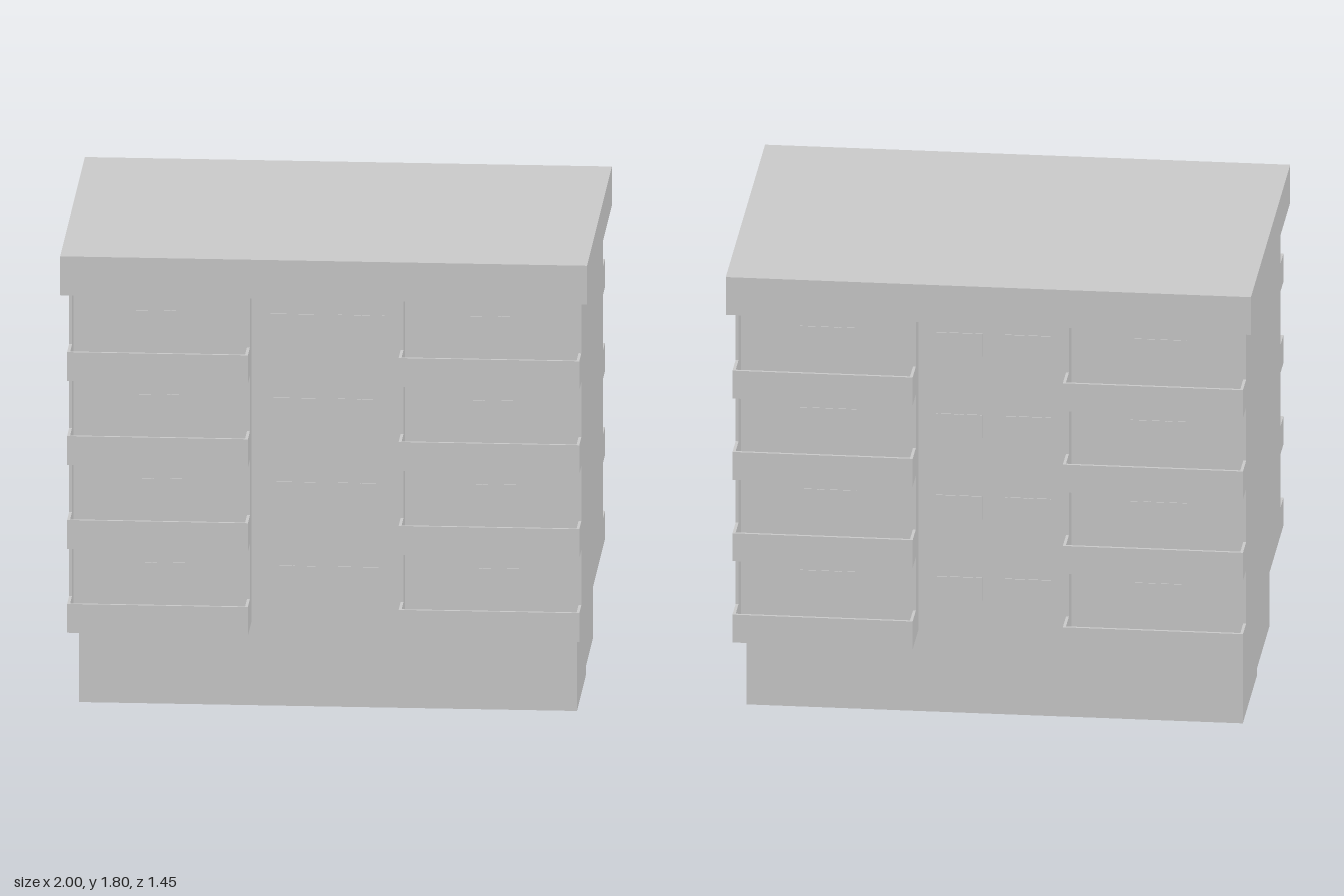
import * as THREE from 'three';

const material = new THREE.MeshStandardMaterial({ color: 0xcccccc, flatShading: true });

// Box given by its limits along each axis
function block(parent, name, x0, x1, y0, y1, z0, z1) {
  const mesh = new THREE.Mesh(new THREE.BoxGeometry(x1 - x0, y1 - y0, z1 - z0), material);
  mesh.position.set((x0 + x1) / 2, (y0 + y1) / 2, (z0 + z1) / 2);
  mesh.name = name;
  parent.add(mesh);
  return mesh;
}

const BASE_TOP = 0.33, EAVES = 1.65, STOREY = 0.33, FLOORS = 4;
const WALL = 0.515;              // main facade plane
const FIN = 0.61;                // front edge of the wing walls
const BALCONY = 0.724;           // front edge of the balconies
const INNER = 0.286, OUTER = 0.972, THIN = 0.011;

// Tray-shaped balcony: floor slab with a thin parapet on three sides
function createBalcony(y) {
  const g = new THREE.Group();
  g.name = 'balcony';
  const top = y + 0.113;
  block(g, 'balconyFloor', INNER, OUTER, y, y + 0.014, WALL, BALCONY);
  block(g, 'balconyParapet', INNER, OUTER, y, top, BALCONY - THIN, BALCONY);
  for (const x of [INNER, OUTER - THIN]) {
    block(g, 'balconySide', x, x + THIN, y, top, FIN, BALCONY - THIN);
  }
  return g;
}

// Shallow two-pane window set on the facade
function createWindow(x, y) {
  const g = new THREE.Group();
  g.name = 'window';
  const w = 0.09, h = 0.093;
  for (const s of [-1, 1]) {
    block(g, 'windowPane', x + s * w / 2 - 0.043, x + s * w / 2 + 0.043, y, y + h, WALL, WALL + 0.004);
  }
  return g;
}

// Balcony door with a side window at each hand
function createBalconyDoor(y) {
  const g = new THREE.Group();
  g.name = 'balconyDoor';
  const top = y + 0.225;
  block(g, 'doorLeaf', 0.593, 0.662, y + 0.014, top, WALL, WALL + 0.003);
  block(g, 'sideWindow', 0.522, 0.59, y + 0.13, top, WALL, WALL + 0.003);
  block(g, 'sideWindow', 0.665, 0.737, y + 0.13, top, WALL, WALL + 0.003);
  return g;
}

// Projecting wing on one side of the facade
function createWing(side) {
  const g = new THREE.Group();
  g.name = side > 0 ? 'leftWing' : 'rightWing';
  block(g, 'outerWall', OUTER - THIN, OUTER, BASE_TOP, EAVES, 0, FIN);
  block(g, 'innerWall', INNER, INNER + THIN, BASE_TOP, EAVES, WALL, FIN);
  for (let i = 0; i < FLOORS; i++) {
    const y = BASE_TOP + i * STOREY;
    g.add(createBalcony(y), createBalconyDoor(y));
  }
  // Mirror by shifting each symmetric box to the other side
  if (side < 0) {
    g.traverse((o) => { if (o.isMesh) o.position.x *= -1; });
  }
  return g;
}

// Half of the building, with one complete facade
function createHalf(name) {
  const g = new THREE.Group();
  g.name = name;
  block(g, 'groundFloor', -0.941, 0.949, 0, BASE_TOP, 0, WALL);
  block(g, 'upperFloors', -0.961, 0.961, BASE_TOP, EAVES, 0, WALL);
  g.add(createWing(1), createWing(-1));
  for (let i = 0; i < FLOORS; i++) {
    const y = BASE_TOP + i * STOREY + 0.128;
    for (const s of [-1, 1]) g.add(createWindow(s * 0.131, y));
  }
  return g;
}

export function createModel() {
  const model = new THREE.Group();
  model.name = 'apartmentBuilding';
  const front = createHalf('frontHalf');
  const back = createHalf('backHalf');
  back.rotation.y = Math.PI;
  model.add(front, back);
  block(model, 'roof', -1, 1, EAVES, 1.803, -0.702, 0.702);
  return model;
}
